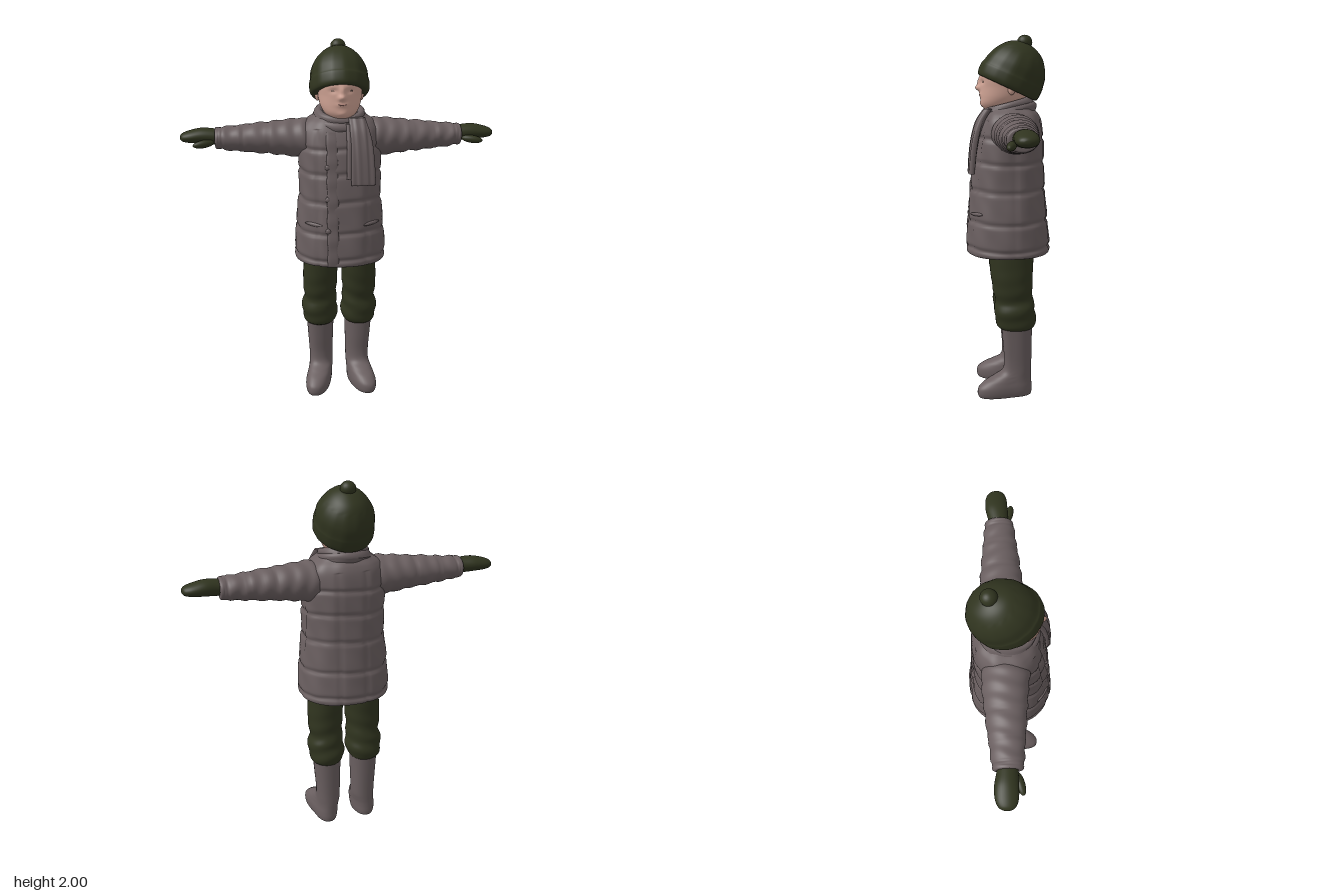
import * as THREE from 'three';

const mat = (name, color, side = THREE.FrontSide) => {
  const m = new THREE.MeshStandardMaterial({ color, side });
  m.name = name;
  return m;
};

// Smooth loft up the y axis. Each key is [y, centreX, centreZ, radiusX, radiusZ].
// bump(y, x, z, angle) pushes the surface out or in.
function loft(keys, rings, segs, { power = 2, bump = () => 0 } = {}) {
  const pos = [], index = [], n = keys.length - 1;
  const root = (v) => Math.sign(v) * Math.pow(Math.abs(v), 2 / power);
  const key = (i) => keys[Math.max(0, Math.min(n, i))];
  for (let r = 0; r <= rings; r++) {
    const u = (r / rings) * n, i = Math.min(n - 1, Math.floor(u)), t = u - i;
    const [y, cx, cz, rx, rz] = key(i).map((b, k) => {
      const a = key(i - 1)[k], c = key(i + 1)[k], d = key(i + 2)[k];
      return b + 0.5 * t * (c - a + t * (2 * a - 5 * b + 4 * c - d + t * (3 * (b - c) + d - a)));
    });
    for (let s = 0; s < segs; s++) {
      const a = (s / segs) * Math.PI * 2, dx = root(Math.sin(a)), dz = root(Math.cos(a));
      const d = bump(y, cx + rx * dx, cz + rz * dz, a);
      pos.push(cx + (rx + d) * dx, y, cz + (rz + d) * dz);
      if (r < rings) {
        const p = r * segs + s, q = r * segs + ((s + 1) % segs);
        index.push(p, q, q + segs, p, q + segs, p + segs);
      }
    }
  }
  // end caps with their own vertices so the rims stay crisp
  for (const [ring, top] of [[0, false], [rings, true]]) {
    const k = top ? keys[n] : keys[0], base = pos.length / 3;
    for (let s = 0; s < segs; s++) pos.push(...pos.slice((ring * segs + s) * 3, (ring * segs + s) * 3 + 3));
    pos.push(k[1], k[0], k[2]);
    for (let s = 0; s < segs; s++) {
      const p = base + s, q = base + ((s + 1) % segs);
      index.push(...(top ? [p, q, base + segs] : [q, p, base + segs]));
    }
  }
  const g = new THREE.BufferGeometry();
  g.setAttribute('position', new THREE.Float32BufferAttribute(pos, 3));
  g.setIndex(index);
  g.computeVertexNormals();
  return g;
}

// Copy mirrored across x = 0, with the corner order restored
function mirror(g) {
  const m = g.clone().scale(-1, 1, 1), ix = m.index.array;
  for (let i = 0; i < ix.length; i += 3) [ix[i], ix[i + 1]] = [ix[i + 1], ix[i]];
  m.computeVertexNormals();
  return m;
}

const blob = (x, y, z, sx, sy, sz) => new THREE.SphereGeometry(1, 24, 16).scale(sx, sy, sz).translate(x, y, z);
const bell = (v, w) => Math.exp(-((v / w) ** 2));

export function createModel() {
  const model = new THREE.Group();
  const wool = mat('warm grey cloth', 0x6a5f60);
  const green = mat('dark green knit', 0x30341f);
  const skin = mat('skin', 0xd2a596);
  const lip = mat('lips', 0xb08078);
  const iris = mat('eyes', 0x5a4a44);
  const add = (name, geo, material) => {
    const m = new THREE.Mesh(geo, material);
    m.name = name;
    model.add(m);
    return m;
  };
  const pair = (name, geo, material) => {
    add(name + 'Left', geo, material);
    add(name + 'Right', mirror(geo), material);
  };

  // Quilted coat body
  const coat = [
    [0.815, 0, 0, 0.235, 0.215], [0.835, 0, -0.002, 0.25, 0.23], [0.94, 0, 0, 0.246, 0.224],
    [1.06, 0, 0, 0.236, 0.213], [1.2, 0, 0, 0.222, 0.203], [1.33, 0, -0.005, 0.222, 0.193],
    [1.45, 0, -0.012, 0.222, 0.181], [1.53, 0, -0.017, 0.212, 0.165], [1.575, 0, -0.02, 0.185, 0.145],
    [1.605, 0, -0.02, 0.145, 0.12], [1.63, 0, -0.02, 0.11, 0.1]];
  const seams = [0.855, 1.0, 1.17, 1.32, 1.45];
  add('coat', loft(coat, 120, 96, {
    power: 2.3,
    bump: (y, x, z, a) => {
      let d = 0.003 + 0.003 * Math.sin(a * 9 + y * 14) * Math.sin(y * 23);
      for (const s of seams) d -= 0.009 * bell(y - s - 0.006 * Math.sin(a * 3), 0.011);
      if (y < 1.55) d -= 0.006 * (bell(Math.abs(x) - (z < 0 ? 0.075 : 0.13), 0.01) + bell(z + 0.03, 0.01));
      return d;
    },
  }), wool);

  // Depth of the coat front at a given point
  const frontZ = (x, y) => {
    const i = coat.findIndex((k, j) => j > 0 && k[0] >= y);
    const a = coat[i - 1], b = coat[i], t = (y - a[0]) / (b[0] - a[0]);
    const [, , cz, rx, rz] = a.map((v, k) => v + (b[k] - v) * t);
    return cz + rz * Math.pow(1 - Math.pow(Math.abs(x) / rx, 2.3), 1 / 2.3);
  };

  // Front closing strip, buttons and pocket flaps
  const strip = [0.83, 0.95, 1.08, 1.2, 1.33, 1.45, 1.54].map((y) => [y, -0.055, frontZ(-0.055, y) - 0.002, 0.03, 0.01]);
  add('placket', loft(strip, 40, 20, { power: 3, bump: (y) => 0.002 * Math.sin(y * 60) }), wool);
  [1.02, 1.19, 1.36].forEach((y, i) =>
    add('button' + (i + 1), blob(-0.08, y, frontZ(-0.08, y) + 0.006, 0.015, 0.015, 0.009), wool));
  const flap = blob(0, 0, 0, 0.055, 0.01, 0.009).rotateZ(0.06).rotateY(0.6).translate(0.155, 1.05, frontZ(0.155, 1.05) + 0.001);
  pair('pocketFlap', flap, wool);

  // Sleeves: lofted upright, then laid along x
  const sleeve = loft([
    [0.1, -1.48, -0.025, 0.085, 0.11], [0.19, -1.482, -0.027, 0.106, 0.12], [0.26, -1.484, -0.032, 0.1, 0.115],
    [0.36, -1.485, -0.033, 0.089, 0.106], [0.48, -1.485, -0.033, 0.077, 0.094], [0.58, -1.485, -0.033, 0.066, 0.083],
    [0.645, -1.487, -0.033, 0.06, 0.077], [0.665, -1.487, -0.033, 0.056, 0.07], [0.668, -1.487, -0.033, 0.04, 0.05]],
  80, 48, {
    bump: (s, x, z, a) => s > 0.65 ? 0 : 0.003 * Math.sin(s * 75 + 1.5 * Math.sin(a * 2))
      - 0.004 * (bell(s - 0.38, 0.008) + bell(s - 0.52, 0.008) + bell(s - 0.63, 0.006)),
  }).rotateZ(-Math.PI / 2);
  pair('sleeve', sleeve, wool);

  // Mittens with thumbs
  const mitten = loft([
    [0.63, -1.49, -0.035, 0.04, 0.048], [0.68, -1.496, -0.037, 0.043, 0.052], [0.74, -1.5, -0.043, 0.042, 0.058],
    [0.8, -1.496, -0.044, 0.034, 0.056], [0.838, -1.493, -0.043, 0.024, 0.042], [0.853, -1.492, -0.042, 0.012, 0.02],
    [0.856, -1.492, -0.042, 0.001, 0.001]], 36, 28).rotateZ(-Math.PI / 2);
  pair('mitten', mitten, green);
  const thumb = blob(0, 0, 0, 0.058, 0.021, 0.022).rotateY(-0.25).rotateZ(-0.12).translate(0.727, 1.466, 0.022);
  pair('thumb', thumb, green);

  // Trousers, baggy above the boots
  add('hips', blob(0, 0.84, -0.015, 0.19, 0.09, 0.125), green);
  const leg = loft([
    [0.395, 0.112, -0.045, 0.074, 0.088], [0.415, 0.112, -0.042, 0.092, 0.106], [0.47, 0.113, -0.036, 0.102, 0.115],
    [0.52, 0.113, -0.034, 0.098, 0.11], [0.57, 0.111, -0.028, 0.091, 0.106], [0.65, 0.112, -0.02, 0.097, 0.112],
    [0.75, 0.108, -0.016, 0.097, 0.12], [0.86, 0.105, -0.015, 0.095, 0.125]], 50, 40, {
    power: 2.2,
    bump: (y, x, z, a) => 0.004 * Math.sin(y * 62 + 2 * Math.sin(a + 0.6)) * bell(y - 0.5, 0.16),
  });
  pair('trouserLeg', leg, green);

  // Boots, toes turned slightly outward
  const boot = loft([
    [0, 0.116, 0.02, 0.055, 0.135], [0.006, 0.116, 0.021, 0.066, 0.148], [0.03, 0.116, 0.023, 0.072, 0.154],
    [0.06, 0.115, 0.02, 0.073, 0.15], [0.09, 0.112, 0.003, 0.07, 0.132], [0.115, 0.109, -0.022, 0.068, 0.107],
    [0.145, 0.107, -0.046, 0.067, 0.083], [0.2, 0.107, -0.052, 0.068, 0.077], [0.3, 0.109, -0.049, 0.073, 0.081],
    [0.42, 0.111, -0.046, 0.079, 0.086]], 60, 40, { power: 2.25 });
  const bp = boot.attributes.position;
  for (let i = 0; i < bp.count; i++) {
    const out = Math.max(0, bp.getZ(i) + 0.02);
    bp.setX(i, bp.getX(i) + out * 0.2);
  }
  boot.computeVertexNormals();
  pair('boot', boot, wool);

  // Head with nose, brow, eye sockets and chin shaped by the bump rule
  add('head', loft([
    [1.54, 0, -0.02, 0.07, 0.07], [1.585, 0, 0, 0.07, 0.08], [1.608, 0, 0.03, 0.07, 0.095],
    [1.635, 0, 0.032, 0.09, 0.112], [1.67, 0, 0.018, 0.107, 0.13], [1.72, 0, 0.004, 0.117, 0.145],
    [1.78, 0, 0, 0.124, 0.15], [1.84, 0, -0.01, 0.11, 0.13], [1.9, 0, -0.03, 0.05, 0.07]], 90, 80, {
    power: 2.1,
    bump: (y, x, z) => z < 0 ? 0
      : 0.024 * bell(x, 0.017) * bell(y - 0.0 - 1.718, 0.016) + 0.012 * bell(x, 0.012) * bell(y - 1.748, 0.025)
      - 0.007 * bell(Math.abs(x) - 0.045, 0.022) * bell(y - 1.752, 0.014)
      + 0.005 * bell(x, 0.028) * bell(y - 1.682, 0.013) + 0.006 * bell(x, 0.025) * bell(y - 1.63, 0.015),
  }), skin);
  pair('ear', blob(0.118, 1.715, -0.015, 0.014, 0.032, 0.02), skin);
  pair('eye', blob(0, 0, 0, 0.012, 0.0045, 0.003).rotateY(0.3).translate(0.046, 1.752, 0.133), iris);
  add('mouth', blob(0, 1.682, 0.1525, 0.022, 0.004, 0.003), lip);

  // Knitted hat, tipped back, with folded rim and bobble
  const hat = loft([
    [-0.004, 0, 0, 0.135, 0.155], [0, 0, 0, 0.15, 0.172], [0.02, 0, 0, 0.158, 0.18], [0.06, 0, 0, 0.159, 0.181],
    [0.08, 0, -0.002, 0.155, 0.176], [0.13, 0, -0.004, 0.149, 0.164], [0.18, 0, -0.004, 0.126, 0.138],
    [0.225, 0, -0.003, 0.085, 0.098], [0.25, 0, 0, 0.04, 0.045], [0.256, 0, 0, 0.001, 0.001]], 60, 56, {
    bump: (y, x, z, a) => y < 0.2 ? 0.0012 * Math.sin(a * 14) : 0,
  }).rotateX(-0.43).translate(0, 1.722, 0.002);
  add('hat', hat, green);
  add('bobble', blob(0, 1.961, -0.093, 0.041, 0.039, 0.041), green);

  // Scarf: two overlapping wraps, lower at the front
  const wrap = (rx, rz, y, tilt, tall, thick, wobble) => {
    const g = new THREE.TorusGeometry(1, 0.2, 16, 72).rotateX(Math.PI / 2), p = g.attributes.position;
    for (let i = 0; i < p.count; i++) {
      const a = Math.atan2(p.getX(i), p.getZ(i)), d = (Math.hypot(p.getX(i), p.getZ(i)) - 1) / 0.2;
      const v = p.getY(i) / 0.2;
      const fold = 1 + 0.12 * Math.sin(v * 5 + a * wobble);
      p.setXYZ(i, Math.sin(a) * (rx + d * thick * fold), y - tilt * Math.cos(a) + v * tall, Math.cos(a) * (rz + d * thick * fold) - 0.005);
    }
    g.computeVertexNormals();
    return g;
  };
  add('scarfLower', wrap(0.125, 0.128, 1.585, 0.033, 0.034, 0.026, 2), wool);
  add('scarfUpper', wrap(0.113, 0.113, 1.618, 0.03, 0.028, 0.024, 3), wool);
  const ridges = (y, x) => 0.003 * Math.sin(x * 170 + y * 6);
  add('scarfTail', loft([
    [1.268, 0.097, 0.206, 0.064, 0.013], [1.28, 0.097, 0.207, 0.066, 0.016], [1.38, 0.095, 0.198, 0.062, 0.018],
    [1.47, 0.09, 0.182, 0.056, 0.02], [1.55, 0.082, 0.155, 0.05, 0.022], [1.61, 0.075, 0.115, 0.045, 0.02]],
  40, 48, { power: 2.8, bump: ridges }).rotateY(0.06), wool);
  add('scarfUnderTail', loft([
    [1.3, 0.05, 0.196, 0.034, 0.01], [1.38, 0.055, 0.19, 0.036, 0.012], [1.48, 0.06, 0.17, 0.038, 0.016],
    [1.58, 0.06, 0.13, 0.038, 0.018]], 30, 32, { power: 2.8, bump: ridges }), wool);

  return model;
}
